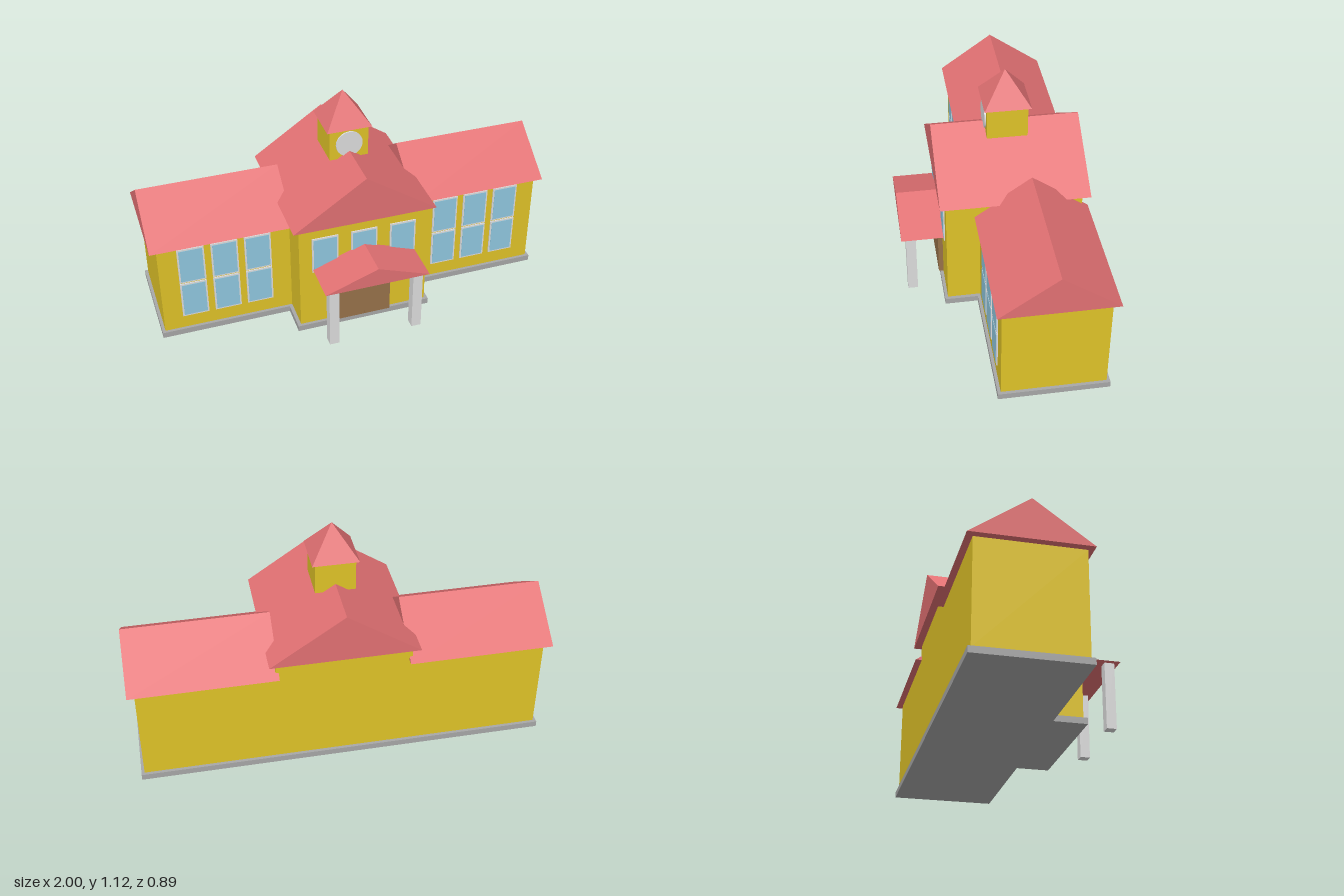
import * as THREE from 'three';

const mat = (name, color) => {
  const m = new THREE.MeshStandardMaterial({ color });
  m.name = name;
  return m;
};

export function createModel() {
  const yellow = mat('wall yellow', 0xe0c428);
  const red = mat('roof red', 0xe27173);
  const stone = mat('base grey', 0xa8a8a8);
  const white = mat('light grey', 0xdedede);
  const glass = mat('window blue', 0x90c8e0);
  const brown = mat('door brown', 0x98724a);

  const model = new THREE.Group();
  model.name = 'schoolhouse';

  const add = (name, geometry, material, parent = model) => {
    const mesh = new THREE.Mesh(geometry, material);
    mesh.name = name;
    parent.add(mesh);
    return mesh;
  };

  // Box given by its limits on each axis
  const box = (name, material, [x0, x1], [y0, y1], [z0, z1], parent) => {
    const g = new THREE.BoxGeometry(x1 - x0, y1 - y0, z1 - z0);
    g.translate((x0 + x1) / 2, (y0 + y1) / 2, (z0 + z1) / 2);
    return add(name, g, material, parent);
  };

  // Closed gable prism with its ridge along z, starting at z = 0
  const gable = (halfWidth, height, length) => {
    const s = new THREE.Shape();
    s.moveTo(-halfWidth, 0);
    s.lineTo(halfWidth, 0);
    s.lineTo(0, height);
    s.closePath();
    return new THREE.ExtrudeGeometry(s, { depth: length, bevelEnabled: false });
  };

  // Framed window: thin frame with a pane just in front
  const windowUnit = (x, y, z) => {
    const g = new THREE.Group();
    g.name = 'window';
    g.position.set(x, y, z);
    model.add(g);
    box('windowFrame', white, [-0.065, 0.065], [-0.098, 0.098], [-0.002, 0.006], g);
    box('windowPane', glass, [-0.057, 0.057], [-0.09, 0.09], [0.003, 0.008], g);
  };

  // Foundation
  box('foundation', stone, [-0.98, 0.98], [0, 0.03], [-0.425, 0.09]);
  box('foundationFront', stone, [-0.34, 0.34], [0, 0.03], [0.09, 0.25]);

  // Central hall
  box('hallWalls', yellow, [-0.323, 0.323], [0.03, 0.6], [-0.41, 0.235]);
  add('hallRoof', gable(0.355, 0.24, 0.71), red).position.set(0, 0.6, -0.445);
  for (const x of [-0.195, 0, 0.195]) windowUnit(x, 0.437, 0.235);

  // Side wings
  for (const side of [-1, 1]) {
    const span = (a, b) => (side > 0 ? [a, b] : [-b, -a]);
    box('wingWalls', yellow, span(0.323, 0.965), [0.03, 0.52], [-0.41, 0.075]);
    const roof = add('wingRoof', gable(0.271, 0.192, 0.692), red);
    roof.rotation.y = Math.PI / 2;
    roof.position.set(side > 0 ? 0.308 : -1, 0.52, -0.17);
    for (const x of [0.483, 0.645, 0.807])
      for (const y of [0.2, 0.403]) windowUnit(side * x, y, 0.075);

    // Door leaf and porch column
    box('doorLeaf', brown, span(0.0005, 0.13), [0.03, 0.36], [0.235, 0.258]);
    box('porchColumn', white, span(0.185, 0.233), [0.03, 0.365], [0.374, 0.422]);
  }

  // Porch roof
  add('porchRoof', gable(0.258, 0.094, 0.21), red).position.set(0, 0.357, 0.235);

  // Clock tower
  box('towerWalls', yellow, [-0.096, 0.096], [0.8, 0.957], [-0.185, 0.008]);
  const cap = new THREE.ConeGeometry(0.111 * Math.SQRT2, 0.158, 4).toNonIndexed();
  cap.rotateY(Math.PI / 4);
  cap.computeVertexNormals();
  add('towerRoof', cap, red).position.set(0, 1.036, -0.089);
  const clock = add('clockFace', new THREE.CylinderGeometry(0.066, 0.066, 0.009, 20), white);
  clock.rotation.x = Math.PI / 2;
  clock.position.set(0, 0.878, 0.011);

  return model;
}
